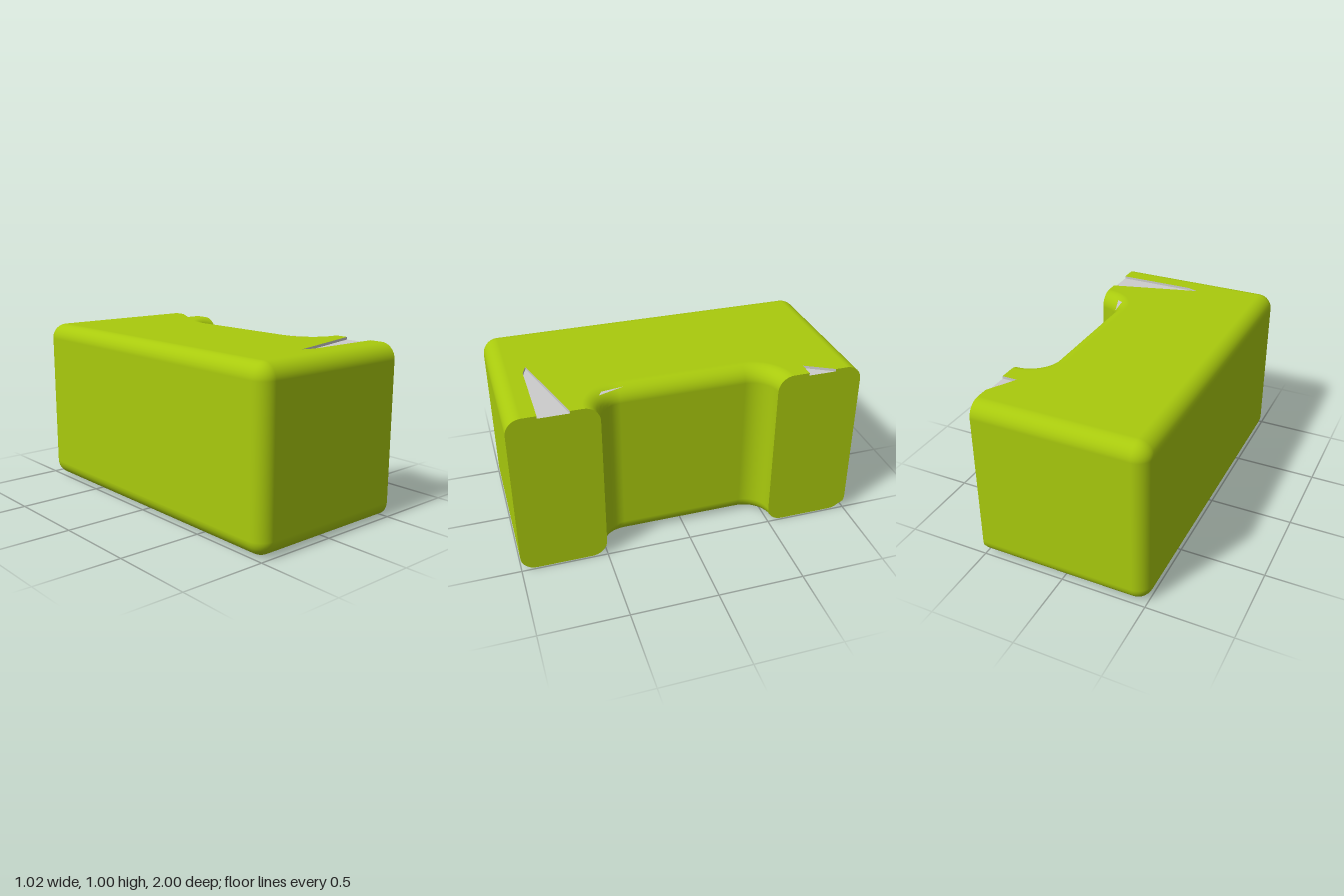
import * as THREE from 'three';

const R = 0.09, END = 0.49, FILLET = 0.14, DIP = 0.985;
const STEPS = 8;

// Slight lip on the back corner of the end face
function endX(y, z) {
  if (z > -0.985 || y < 0.03) return END;
  return END + 0.016 * THREE.MathUtils.clamp((0.88 - y) / 0.83, 0, 1);
}

// Path points with outward normals, made from an arc: centre + k * normal
function arc(cx, cz, k, from, to) {
  return Array.from({ length: STEPS + 1 }, (_, i) => {
    const a = from + (to - from) * i / STEPS, nx = Math.cos(a), nz = Math.sin(a);
    return { x: cx + k * nx, z: cz + k * nz, nx, nz };
  });
}

// Wall following a path, rounded over at the bottom and top
function wall(path) {
  const pos = [], nor = [], idx = [], rows = 2 * (STEPS + 1), n = path.length;
  for (let j = 0; j < rows; j++) {
    const lower = j <= STEPS;
    const t = (lower ? j - STEPS : j - STEPS - 1) / STEPS * Math.PI / 2;
    const y = (lower ? R : 1 - R) + R * Math.sin(t), inset = R * (1 - Math.cos(t));
    path.forEach((p, i) => {
      const z = p.z - inset * p.nz;
      const tip = i === 0 || i === n - 1;
      pos.push(tip ? endX(y, z) : p.x - inset * p.nx, y, z);
      nor.push(p.nx * Math.cos(t), Math.sin(t), p.nz * Math.cos(t));
      if (j < rows - 1 && i < n - 1) {
        const a = j * n + i;
        idx.push(a, a + n, a + 1, a + 1, a + n, a + n + 1);
      }
    });
  }
  const g = new THREE.BufferGeometry();
  g.setAttribute('position', new THREE.Float32BufferAttribute(pos, 3));
  g.setAttribute('normal', new THREE.Float32BufferAttribute(nor, 3));
  g.setIndex(idx);
  return g;
}

const flat = pts => new THREE.ShapeGeometry(new THREE.Shape(pts.map(p => new THREE.Vector2(p[0], p[1]))));
const facingUp = (pts, y) => flat(pts.map(([x, z]) => [x, -z])).rotateX(-Math.PI / 2).translate(0, y, 0);

// Flat end of a leg, with rounded corners and a notch at the top
function legEnd(z0, z1, n0, n1) {
  const pts = [];
  [[z1, 0, 0], [z1, 1, 1], [z0, 1, 2], [z0, 0, 3]].forEach(([z, y, q]) => {
    const cz = z === z1 ? z1 - R : z0 + R, cy = y ? 1 - R : R;
    for (let i = 0; i <= STEPS; i++) {
      const a = (q - 1 + i / STEPS) * Math.PI / 2;
      pts.push([-(cz + R * Math.cos(a)), cy + R * Math.sin(a)]);
    }
    if (q === 1) pts.push([-n1, 1], [-n1, DIP], [-n0, DIP], [-n0, 1]);
  });
  const g = flat(pts).rotateY(Math.PI / 2), p = g.attributes.position;
  for (let i = 0; i < p.count; i++) p.setX(i, endX(p.getY(i), p.getZ(i)));
  return g;
}

export function createModel() {
  const group = new THREE.Group();
  const green = new THREE.MeshStandardMaterial({ color: 0xa9ca0d });
  const grey = new THREE.MeshStandardMaterial({ color: 0xcccccc, side: THREE.DoubleSide });
  const add = (name, geometry, material = green) => {
    const m = new THREE.Mesh(geometry, material);
    m.name = name;
    group.add(m);
  };

  // Outer and inner outlines of the C-shaped block
  const H = Math.PI / 2, cx = -0.51 + R;
  const outer = [
    { x: END, z: 1, nx: 0, nz: 1 },
    ...arc(cx, 1 - R, R, H, 2 * H),
    ...arc(cx, R - 1, R, 2 * H, 3 * H),
    { x: END, z: -1, nx: 0, nz: -1 },
  ];
  const inner = [
    ...arc(END, -0.36, -FILLET, H, 0),
    ...arc(END, 0.36, -FILLET, 0, -H),
  ];
  add('outerWall', wall(outer));
  add('innerWall', wall(inner));

  // Shallow notches in the top, open at the leg ends
  const frontNotch = [[END, 0.66], [-0.04, 0.805], [0.03, 0.83], [END, 0.83]];
  const backNotch = [[END, -0.84], [0.4, -0.68], [END, -0.68]];

  // Top and bottom faces
  const inset = path => path.map(p => [p.x - R * p.nx, p.z - R * p.nz]);
  add('topFace', facingUp([...inset(outer), ...backNotch, ...inset(inner), ...frontNotch], 1));
  add('bottomFace', flat([...inset(outer), ...inset(inner)]).rotateX(Math.PI / 2));

  // Leg ends
  add('frontLegEnd', legEnd(0.5, 1, 0.66, 0.83));
  add('backLegEnd', legEnd(-1, -0.5, -0.84, -0.68));

  // Notch floors and their low side walls
  [['frontNotch', frontNotch], ['backNotch', backNotch]].forEach(([name, pts]) => {
    add(name + 'Floor', facingUp(pts, DIP), grey);
    for (let i = 0; i < pts.length - 1; i++) {
      const [x0, z0] = pts[i], [x1, z1] = pts[i + 1];
      const side = new THREE.PlaneGeometry(Math.hypot(x1 - x0, z1 - z0), 1 - DIP);
      side.rotateY(-Math.atan2(z1 - z0, x1 - x0));
      side.translate((x0 + x1) / 2, (1 + DIP) / 2, (z0 + z1) / 2);
      add(name + 'Side', side, grey);
    }
  });

  // Small sliver on the rounded inner edge
  add('innerSliver', facingUp([[0.317, 0.33], [0.335, 0.46], [0.37, 0.48]], 0.992), grey);
  return group;
}
